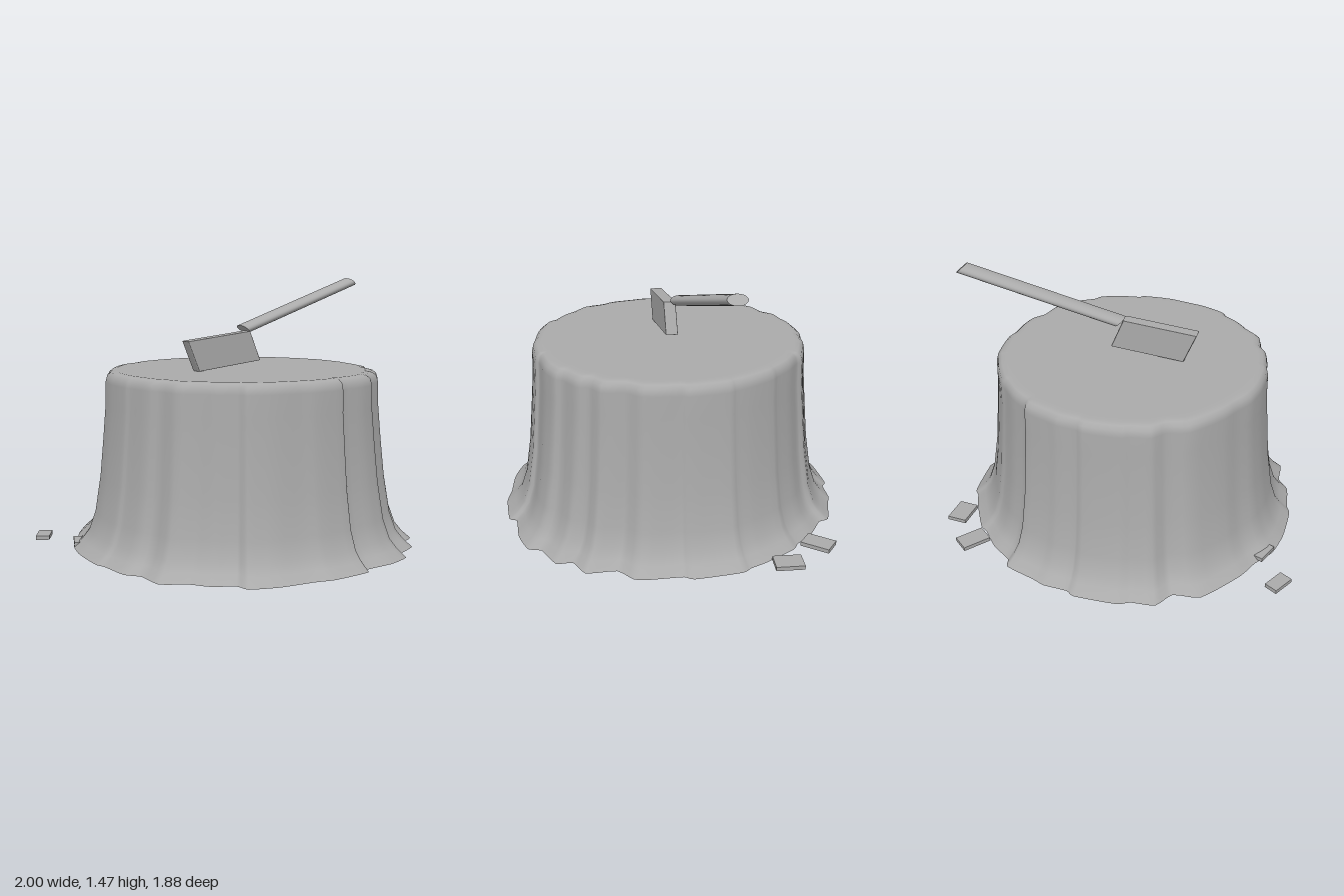
import * as THREE from 'three';
import { RoundedBoxGeometry } from 'three/addons/geometries/RoundedBoxGeometry.js';

const grey = new THREE.MeshStandardMaterial({ color: 0xaaaaaa });
grey.name = 'plain grey';
const black = new THREE.MeshStandardMaterial({ color: 0x060606 });
black.name = 'black underside';

// Ragged outline of the root flare as x, z pairs, and the trunk centre
const CX = 0.025, BASE_R = 0.93;
const outline = [
  -0.9, -0.19, -0.86, -0.34, -0.78, -0.45, -0.72, -0.57, -0.55, -0.78, -0.4, -0.8, -0.33, -0.9, -0.2, -0.91,
  -0.13, -0.94, 0.1, -0.94, 0.15, -0.91, 0.28, -0.9, 0.35, -0.87, 0.52, -0.81, 0.54, -0.75, 0.65, -0.67,
  0.74, -0.56, 0.79, -0.52, 0.88, -0.35, 0.92, -0.25, 0.95, -0.2, 0.96, 0.05, 0.93, 0.1, 0.92, 0.27,
  0.9, 0.35, 0.81, 0.42, 0.8, 0.58, 0.69, 0.63, 0.68, 0.72, 0.54, 0.78, 0.51, 0.85, 0.37, 0.89,
  0.2, 0.89, 0.17, 0.93, -0.04, 0.93, -0.15, 0.9, -0.33, 0.87, -0.48, 0.81, -0.5, 0.74, -0.61, 0.67,
  -0.68, 0.58, -0.8, 0.5, -0.81, 0.35, -0.87, 0.27, -0.89, 0.1, -0.91, 0.05, -0.91, -0.05,
];

function outlinePolar() {
  const pts = [];
  for (let i = 0; i < outline.length; i += 2) pts.push(new THREE.Vector3(outline[i] - CX, 0, outline[i + 1]));
  const curve = new THREE.CatmullRomCurve3(pts, true, 'catmullrom', 0.3);
  return curve.getPoints(pts.length * 3).slice(0, -1)
    .map((p) => ({ r: Math.hypot(p.x, p.z), a: Math.atan2(p.z, p.x) }));
}

// Skin over rings given as [height, mean radius, strength of the folds]
function loft(rings) {
  const polar = outlinePolar(), n = polar.length, pos = [], index = [];
  rings.forEach(([y, mean, fold]) => {
    for (const { r, a } of polar) {
      const radius = mean + fold * (r - BASE_R);
      pos.push(CX + Math.cos(a) * radius, y, Math.sin(a) * radius);
    }
  });
  for (let j = 0; j < rings.length - 1; j++) {
    for (let i = 0; i < n; i++) {
      const a = j * n + i, b = j * n + (i + 1) % n;
      index.push(a, a + n, b, b, a + n, b + n);
    }
  }
  const geo = new THREE.BufferGeometry();
  geo.setAttribute('position', new THREE.Float32BufferAttribute(pos, 3));
  geo.setIndex(index);
  geo.computeVertexNormals();
  return geo;
}

// Shear a geometry onto three edge vectors around a centre
function skew(geo, ex, ey, ez, centre) {
  const v = (a) => new THREE.Vector3(...a);
  return geo.applyMatrix4(new THREE.Matrix4().makeBasis(v(ex), v(ey), v(ez)).setPosition(...centre));
}

export function createModel() {
  const model = new THREE.Group();
  model.name = 'choppingStump';
  const add = (name, geo, mat = grey) => {
    const mesh = new THREE.Mesh(geo, mat);
    mesh.name = name;
    model.add(mesh);
    return mesh;
  };

  // Fluted trunk with flared foot, rounded rim and flat cut top
  add('stump', loft([
    [0.005, 0.935, 1], [0.05, 0.885, 0.95], [0.1, 0.848, 0.85], [0.2, 0.815, 0.75], [0.4, 0.785, 0.65],
    [0.6, 0.768, 0.55], [0.8, 0.752, 0.5], [0.92, 0.75, 0.5], [0.955, 0.742, 0.45], [0.972, 0.722, 0.4],
    [0.978, 0.695, 0.3], [0.976, 0.66, 0.1], [0.976, 0.35, 0], [0.976, 0, 0],
  ]));

  // Underside
  add('stumpUndersideRim', loft([[0.001, 0.865, 0.6], [0.005, 0.935, 1]]));
  add('stumpUnderside', loft([[0, 0, 0], [0.001, 0.865, 0.6]]), black);

  // Axe stuck in the top: slanted blade and a handle with slanted ends
  add('axeHead', skew(new RoundedBoxGeometry(1, 1, 0.066, 2, 0.012),
    [0.41, 0.042, 0], [-0.07, 0.168, 0], [0, 0, 1], [-0.1, 1.081, 0]));
  add('axeHandle', skew(new THREE.CylinderGeometry(1, 1, 1, 32),
    [0.025, -0.022, 0], [0.857, 0.257, -0.088], [0, 0, 0.051], [0.507, 1.321, -0.097]));

  // Wood chips lying around the foot: x, z, width, depth, turn
  [
    [-0.932, -0.592, 0.076, 0.13, -0.55],
    [0.785, -0.663, 0.106, 0.16, -0.72],
    [0.936, -0.45, 0.11, 0.151, -0.1],
    [-0.81, -0.36, 0.08, 0.13, -0.4],
  ].forEach(([x, z, w, d, turn], i) => {
    const chip = add('woodChip' + (i + 1), new THREE.BoxGeometry(w, 0.022, d));
    chip.position.set(x, 0.022, z);
    chip.rotation.y = turn;
  });

  return model;
}
